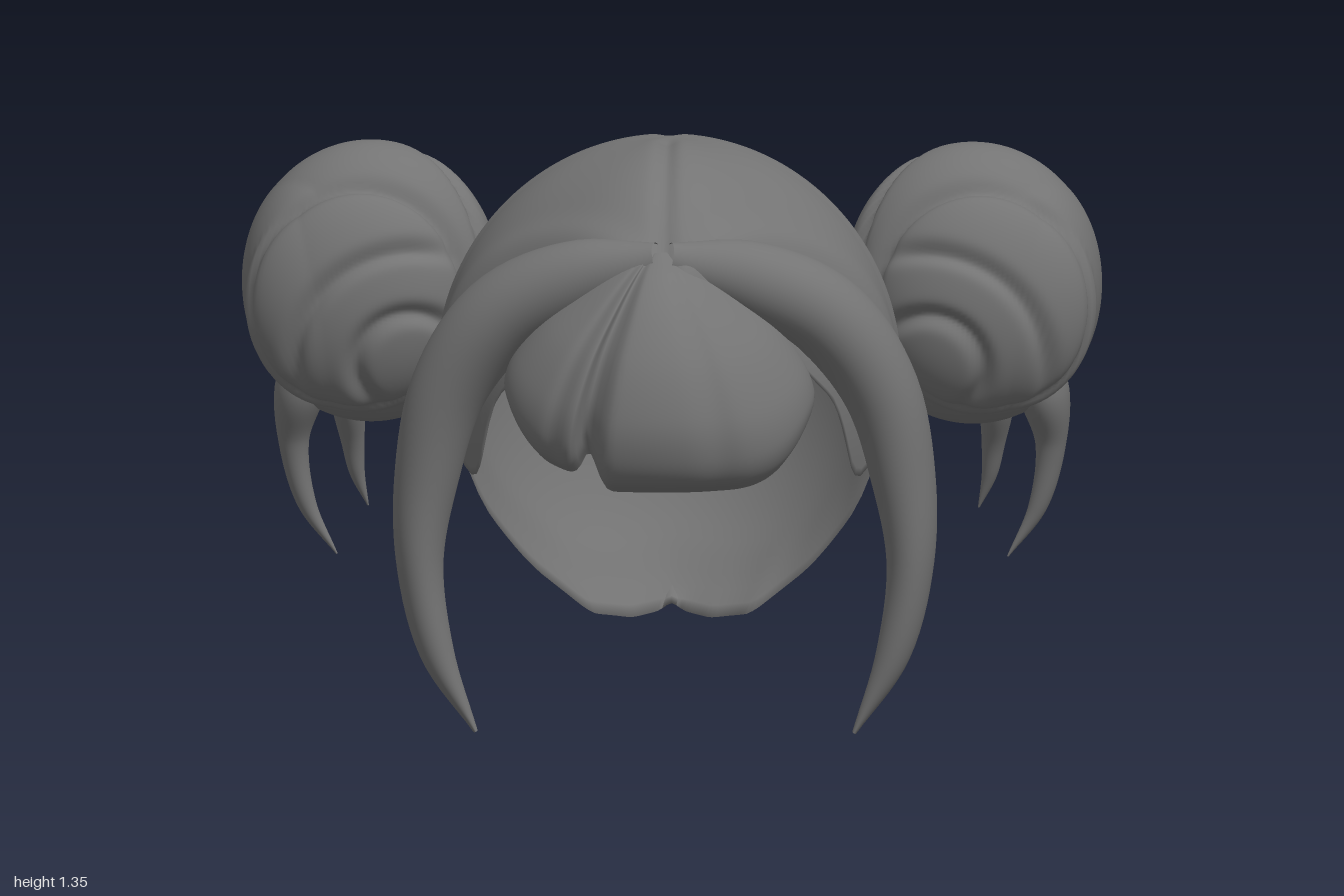
import * as THREE from 'three';

const V = (x, y, z) => new THREE.Vector3(x, y, z);
const material = new THREE.MeshStandardMaterial({ color: 0x747474, side: THREE.DoubleSide });

// Smooth closed-loop surface: fn(angle, v) -> point; side -1 mirrors it in x
function surface(name, fn, around, along, side = 1) {
  const pos = [], idx = [];
  for (let i = 0; i <= along; i++) {
    for (let j = 0; j < around; j++) {
      const p = fn((j / around) * Math.PI * 2, i / along);
      pos.push(p.x * side, p.y, p.z);
      if (i === along) continue;
      const a = i * around + j, b = i * around + (j + 1) % around;
      const c = a + around, d = b + around;
      if (side > 0) idx.push(a, c, b, b, c, d);
      else idx.push(a, b, c, b, d, c);
    }
  }
  const g = new THREE.BufferGeometry();
  g.setAttribute('position', new THREE.Float32BufferAttribute(pos, 3));
  g.setIndex(idx);
  g.computeVertexNormals();
  const mesh = new THREE.Mesh(g, material);
  mesh.name = name;
  return mesh;
}

// Tapered strand through rows of [x, y, z, half width, half depth]
function strand(name, rows, side) {
  const path = new THREE.CatmullRomCurve3(rows.map(r => V(r[0], r[1], r[2])));
  const size = new THREE.CatmullRomCurve3(rows.map(r => V(r[3], r[4], 0)), false, 'catmullrom', 0.5);
  return surface(name, (a, v) => {
    const t = path.getTangent(v);
    const s = t.clone().cross(V(0, 0, 1)).normalize();
    const d = s.clone().cross(t).normalize();
    const w = size.getPoint(v);
    return path.getPoint(v)
      .addScaledVector(s, Math.max(w.x, 0) * Math.cos(a))
      .addScaledVector(d, Math.max(w.y, 0) * Math.sin(a));
  }, 40, 48, side);
}

const bump = (x, centre, width) => Math.exp(-(((x - centre) / width) ** 2));

// Linear lookup in a list of [angle, height]
function lookup(table, a) {
  let i = 0;
  while (i < table.length - 2 && a > table[i + 1][0]) i++;
  const [a0, y0] = table[i], [a1, y1] = table[i + 1];
  return THREE.MathUtils.lerp(y0, y1, THREE.MathUtils.clamp((a - a0) / (a1 - a0), 0, 1));
}

// Height of the hairline by angle from the front to the nape
const hairline = [[0, 1.08], [0.3, 1.05], [0.6, 0.95], [0.95, 0.78], [1.13, 0.56], [1.25, 0.61], [1.37, 0.76],
  [1.5, 0.825], [1.62, 0.82], [1.73, 0.785], [1.82, 0.68], [1.92, 0.46], [2.15, 0.3], [2.44, 0.19],
  [2.8, 0.175], [3.142, 0.19]];

// Cap: domed shell that folds over its rim into a smooth inner wall
function capPoint(angle, v) {
  const fold = 0.62;
  const outer = v < fold;
  const t = outer ? v / fold : (1 - v) / (1 - fold);
  const a = angle > Math.PI ? Math.PI * 2 - angle : angle;
  let y = 0;
  for (let k = -2; k <= 2; k++) y += lookup(hairline, Math.abs(a + k * 0.025)) / 5;
  const c = (y - 0.8) / (y > 0.8 ? 0.555 : 0.72);
  const theta = Math.acos(c) * t;
  const s = Math.sin(theta), h = Math.cos(theta);
  const front = Math.cos(a) > 0;
  let r = 1;
  if (front) r += 0.09 * Math.cos(a) ** 2 * Math.sin(2 * theta) * (1 - s) - 0.1 * Math.sin(2 * a) ** 2 * s * s;
  const p = V(0.535 * s * Math.sin(angle), (h > 0 ? 0.555 : 0.72) * h, (front ? 0.64 : 0.57) * s * Math.cos(a));
  if (outer) {
    // centre parting, diagonal crests and the soft step across the back
    r -= 0.025 * bump(p.x, 0, 0.022) * Math.min(1, t * 8);
    if (front) r += 0.035 * bump(Math.abs(p.x), 0.08 + (0.5 - p.z) * 1.15, 0.06) * s;
    else r += 0.012 * Math.tanh((p.y - 0.1 + 0.5 * Math.abs(p.x)) / 0.03) * Math.min(1, s * s);
  } else r *= 0.94 + 0.05 * Math.max(0, t - 0.9) * 10;
  return p.multiplyScalar(r).add(V(0, 0.8, -0.08));
}

// Fringe: lobed curtain, hollow behind; rows of [height, half width, back z, front z]
const fringeRows = [[1.16, 0.03, 0.38, 0.42], [1.11, 0.1, 0.38, 0.52], [1.03, 0.18, 0.37, 0.6],
  [0.92, 0.27, 0.36, 0.66], [0.8, 0.335, 0.35, 0.685], [0.71, 0.36, 0.35, 0.672],
  [0.65, 0.355, 0.35, 0.635], [0.62, 0.34, 0.35, 0.57]];
const fringeShape = new THREE.CatmullRomCurve3(fringeRows.map(r => V(r[1], r[2], r[3])), false, 'catmullrom', 0.5);
const fringeDrop = new THREE.CatmullRomCurve3(fringeRows.map(r => V(0, r[0], 0)), false, 'catmullrom', 0.5);
function fringePoint(angle, v) {
  const u = -Math.cos(angle), s = Math.abs(Math.sin(angle));
  const shape = fringeShape.getPoint(v);
  const fall = (1.16 - fringeDrop.getPoint(v).y) / 0.54;
  const notch = bump(u, -0.45, 0.07);
  const bottom = 0.62 + 0.14 * u ** 6 + 0.06 * notch + 0.035 * THREE.MathUtils.smoothstep(-u, 0.4, 0.5);
  const crease = 1 - 0.22 * notch - 0.05 * bump(u, -0.68, 0.06) - 0.04 * bump(u, 0.42, 0.12);
  const inside = Math.sin(angle) < 0 ? 1 - 0.14 * Math.min(1, (1 - v) * 6) : 1;
  return V(
    shape.x * u - 0.01,
    1.16 - (1.16 - bottom) * fall,
    shape.y + (shape.z - shape.y) * Math.pow(s, 0.9) * crease * inside,
  );
}

// Bun: union of overlapping ellipsoids [centre, radii], seen from one inner point
const bunCentre = V(0.72, 0.93, -0.39);
const bunLobes = [
  [V(0.7, 0.96, -0.42), V(0.3, 0.33, 0.22)],
  [V(0.8, 0.96, -0.42), V(0.2, 0.28, 0.23)],
  [V(0.71, 0.91, -0.49), V(0.2, 0.26, 0.19)],
  [V(0.72, 0.94, -0.3), V(0.25, 0.27, 0.15)],
  [V(0.78, 0.93, -0.3), V(0.21, 0.25, 0.14)],
];
function bunPoint(angle, v) {
  const th = v * Math.PI;
  const dir = V(Math.sin(th) * Math.sin(angle), Math.cos(th), Math.sin(th) * Math.cos(angle));
  let r = 0;
  for (const [centre, radii] of bunLobes) {
    const o = bunCentre.clone().sub(centre).divide(radii);
    const d = dir.clone().divide(radii);
    const A = d.dot(d), B = o.dot(d), C = o.dot(o) - 1;
    r = Math.max(r, (-B + Math.sqrt(Math.max(0, B * B - A * C))) / A);
  }
  const p = bunCentre.clone().addScaledVector(dir, r);
  // nested arcs on the two faces, and creases between the layers around the rim
  const curl = Math.hypot(p.x - 0.6, p.y - 0.79);
  const face = THREE.MathUtils.smoothstep(Math.abs(dir.z), 0.35, 0.75);
  const arcs = (bump(curl, 0.13, 0.022) + bump(curl, 0.28, 0.022)) * face;
  const rim = bump(p.z, -0.265, 0.016)
    + bump(p.z, -0.42 - 0.75 * (p.x - 0.55), 0.018) * THREE.MathUtils.smoothstep(0.85 - p.x, 0, 0.15);
  return p.addScaledVector(dir, -0.022 * arcs - 0.018 * rim * (1 - face));
}

export function createModel() {
  const model = new THREE.Group();
  model.name = 'hair';
  model.add(surface('cap', capPoint, 160, 110));
  model.add(surface('fringe', fringePoint, 160, 50));

  for (const side of [1, -1]) {
    const label = side > 0 ? 'left' : 'right';
    // Long lock framing the face
    model.add(strand(label + 'Lock', [
      [0.01, 1.14, 0.42, 0.045, 0.04], [0.2, 1.09, 0.36, 0.09, 0.09], [0.38, 0.99, 0.295, 0.1, 0.115],
      [0.5, 0.82, 0.262, 0.09, 0.105], [0.555, 0.6, 0.24, 0.075, 0.095], [0.57, 0.4, 0.24, 0.055, 0.078],
      [0.53, 0.19, 0.245, 0.04, 0.05], [0.44, 0.005, 0.245, 0.005, 0.012],
    ], side));
    // Bun with two loose tails
    const bun = new THREE.Group();
    bun.name = label + 'Bun';
    bun.add(surface('bunBody', bunPoint, 128, 96, side));
    bun.add(strand('longTail', [
      [0.82, 0.84, -0.42, 0.06, 0.08], [0.865, 0.7, -0.425, 0.06, 0.085], [0.88, 0.58, -0.44, 0.036, 0.042],
      [0.85, 0.43, -0.455, 0.022, 0.025], [0.78, 0.31, -0.46, 0.002, 0.003],
    ], side));
    bun.add(strand('shortTail', [
      [0.76, 0.8, -0.46, 0.04, 0.06], [0.755, 0.68, -0.485, 0.042, 0.06], [0.745, 0.57, -0.52, 0.028, 0.033],
      [0.735, 0.49, -0.54, 0.018, 0.02], [0.71, 0.41, -0.555, 0.002, 0.003],
    ], side));
    model.add(bun);
  }
  return model;
}
